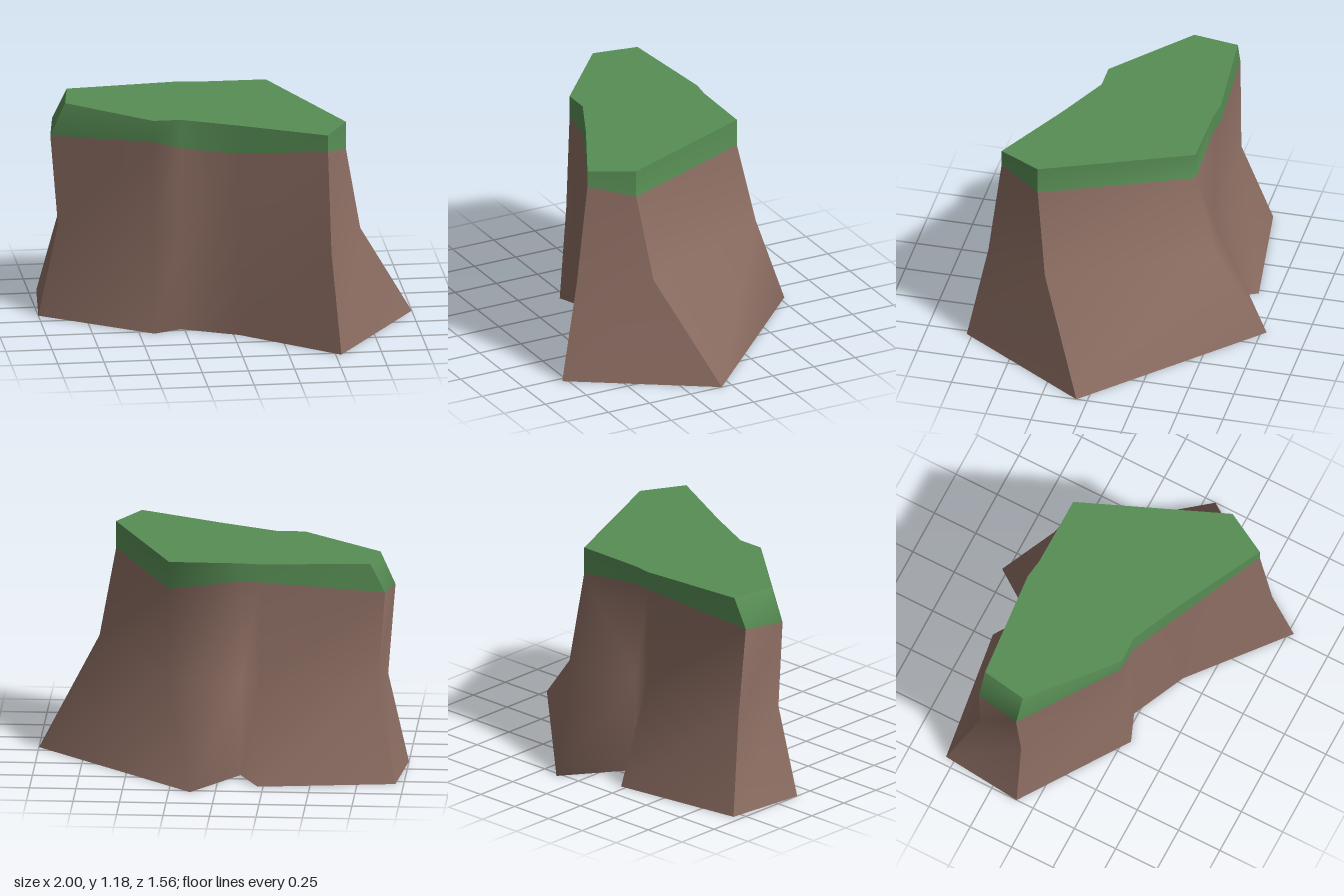
import * as THREE from 'three';

// Outline columns, anticlockwise from the left end of the front.
// Each: foot [x,z], waist [x,y,z], turf line [x,y,z], rim [x,z]
const RIM = 1.18;
const columns = [
  [[-1, -0.1], [-0.89, 0.5, -0.13], [-0.93, 1.0, -0.14], [-0.85, -0.14]],
  [[-0.42, 0.29], [-0.42, 0.53, 0.25], [-0.42, 1.06, 0.23], [-0.42, 0.23]],
  [[-0.27, 0.23], [-0.27, 0.53, 0.23], [-0.27, 1.02, 0.23], [-0.27, 0.23]],
  [[0.03, 0.37], [0.03, 0.53, 0.37], [0.03, 1.02, 0.37], [0.03, 0.37]],
  [[0.53, 0.78], [0.49, 0.54, 0.67], [0.48, 1.09, 0.6], [0.48, 0.6]],
  [[1, 0.06], [0.69, 0.56, 0.31], [0.605, 1.03, 0.37], [0.605, 0.37]],
  [[0.135, -0.78], [0.27, 0.56, -0.535], [0.27, 1.03, -0.42], [0.27, -0.42]],
  [[-0.115, -0.425], [-0.115, 0.53, -0.425], [-0.115, 1.08, -0.425], [-0.115, -0.425]],
  [[-0.22, -0.65], [-0.22, 0.53, -0.45], [-0.22, 1.08, -0.44], [-0.22, -0.44]],
  [[-0.955, -0.55], [-0.85, 0.5, -0.4], [-0.89, 1.02, -0.385], [-0.81, -0.39]],
];
const SPUR = 6; // column where the back spur runs out of the wall

// Smooth wall patches, with hard corners where they meet
const walls = [
  ['front', [0, 1, 2, 3, 4]],
  ['left', [4, 5]],
  ['back', [5, 6, 7, 8, 9]],
  ['right', [9, 0]],
];

// Flat grass cap over the rim
function topGeometry() {
  const points = columns.map(([, , , [x, z]]) => new THREE.Vector2(x, -z));
  const geometry = new THREE.ShapeGeometry(new THREE.Shape(points));
  return geometry.rotateX(-Math.PI / 2).translate(0, RIM, 0);
}

// Wall strip through the given columns; normals flow across rock and turf
function wallGeometries(ids) {
  const positions = [];
  for (const id of ids) {
    const [foot, waist, turf, rim] = columns[id];
    positions.push(foot[0], 0, foot[1], ...waist, ...turf, rim[0], RIM, rim[1]);
  }
  const rock = [];
  const grass = [];
  for (let c = 0; c < ids.length - 1; c++) {
    for (let r = 0; r < 3; r++) {
      const a = c * 4 + r;
      const b = a + 4;
      const band = r < 2 ? rock : grass;
      // Beside the spur the upper rock folds towards the turf corner
      if (ids[c] === SPUR && r === 1) band.push(a, b, a + 1, b, b + 1, a + 1);
      else band.push(a, b, b + 1, a, b + 1, a + 1);
    }
  }
  const whole = new THREE.BufferGeometry();
  whole.setAttribute('position', new THREE.Float32BufferAttribute(positions, 3));
  whole.setIndex([...rock, ...grass]);
  whole.computeVertexNormals();
  return [rock, grass].map((index) => whole.clone().setIndex(index));
}

export function createModel() {
  const group = new THREE.Group();
  group.name = 'grassyCliff';
  // The cliff is a hollow shell, open underneath
  const rockMaterial = new THREE.MeshStandardMaterial({ color: 0x8d6e63, side: THREE.DoubleSide });
  rockMaterial.name = 'brown rock';
  const grassMaterial = new THREE.MeshStandardMaterial({ color: 0x588e55, side: THREE.DoubleSide });
  grassMaterial.name = 'green grass';

  const add = (name, geometry, material) => {
    const mesh = new THREE.Mesh(geometry, material);
    mesh.name = name;
    group.add(mesh);
  };

  // Rock walls with their turf band
  for (const [side, ids] of walls) {
    const [rock, grass] = wallGeometries(ids);
    add(`${side}RockWall`, rock, rockMaterial);
    add(`${side}GrassEdge`, grass, grassMaterial);
  }

  // Grass top
  add('grassTop', topGeometry(), grassMaterial);
  return group;
}
